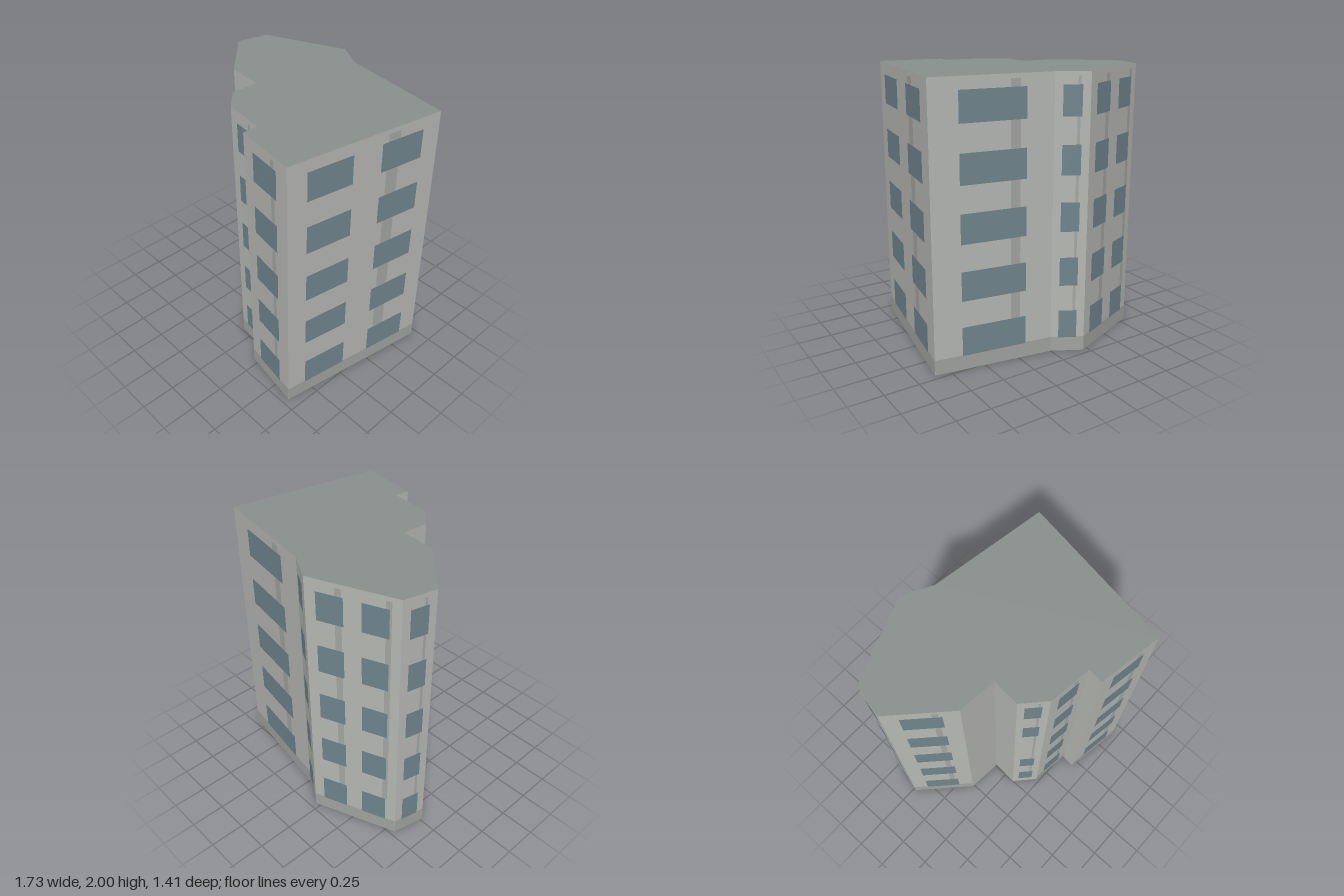
import * as THREE from 'three';

const HEIGHT = 2, FLOORS = 5, PITCH = 0.4;
const ONE = [[0.23, 0.77]], TWO = [[0.12, 0.41], [0.6, 0.88]];
const STREAK = [[0.64, 0.72]];

// Each wall runs from its own corner (x, z) to the next one; spans are fractions of its length
const WALLS = [
  { at: [-0.865, -0.23], windows: ONE, streaks: STREAK, plinth: true },
  { at: [-0.51, 0.11] },
  { at: [-0.235, 0.135] },
  { at: [-0.25, 0.335], windows: ONE, streaks: STREAK, skip: 2 },
  { at: [-0.1, 0.475], windows: ONE, streaks: STREAK, plinth: true },
  { at: [0.21, 0.515] },
  { at: [0.2, 0.625], windows: ONE, streaks: STREAK, plinth: true },
  { at: [0.665, 0.7], windows: TWO, streaks: STREAK, plinth: true },
  { at: [0.86, -0.455], windows: ONE, streaks: STREAK, plinth: true },
  { at: [0, -0.59], windows: ONE, streaks: STREAK, plinth: true },
  { at: [-0.21, -0.705], windows: TWO, streaks: [[0.32, 0.39], [0.84, 0.9]], plinth: true },
  { at: [-0.81, -0.465], windows: ONE, streaks: STREAK, plinth: true },
];

export function createModel() {
  const building = new THREE.Group();
  building.name = 'apartmentBlock';
  const material = (color, side = THREE.FrontSide) =>
    new THREE.MeshStandardMaterial({ color, side });
  const wallMat = material(0xb6b8b4, THREE.DoubleSide);
  const roofMat = material(0x89908d, THREE.DoubleSide);
  const plinthMat = material(0xa1a4a1);
  const streakMat = material(0xa4a6a3);
  const glassMat = material(0x70858d);

  WALLS.forEach((wall, i) => {
    const [x0, z0] = wall.at;
    const [x1, z1] = WALLS[(i + 1) % WALLS.length].at;
    const length = Math.hypot(x1 - x0, z1 - z0);

    // Local x runs along the wall, local z points outwards
    const facade = new THREE.Group();
    facade.name = 'facade';
    facade.position.set(x0, 0, z0);
    facade.rotation.y = Math.atan2(z0 - z1, x1 - x0);
    building.add(facade);

    const panel = (name, [a, b], y0, y1, offset, mat) => {
      const mesh = new THREE.Mesh(new THREE.PlaneGeometry((b - a) * length, y1 - y0), mat);
      mesh.position.set((a + b) / 2 * length, (y0 + y1) / 2, offset);
      mesh.name = name;
      facade.add(mesh);
    };

    panel('wall', [0, 1], 0, HEIGHT, 0, wallMat);
    if (wall.plinth) panel('plinth', [0, 1], 0, 0.11, 0.002, plinthMat);
    for (const span of wall.streaks ?? []) panel('streak', span, 0.31, 1.97, 0.002, streakMat);
    for (const span of wall.windows ?? []) {
      for (let f = 0; f < FLOORS; f++) {
        if (f === wall.skip) continue;
        panel('window', span, 0.105 + f * PITCH, 0.315 + f * PITCH, 0.004, glassMat);
      }
    }
  });

  // Flat roof over the outline; the underside stays open
  const outline = new THREE.Shape(WALLS.map(({ at: [x, z] }) => new THREE.Vector2(x, -z)));
  const roof = new THREE.Mesh(new THREE.ShapeGeometry(outline), roofMat);
  roof.rotation.x = -Math.PI / 2;
  roof.position.y = HEIGHT;
  roof.name = 'roof';
  building.add(roof);

  return building;
}
